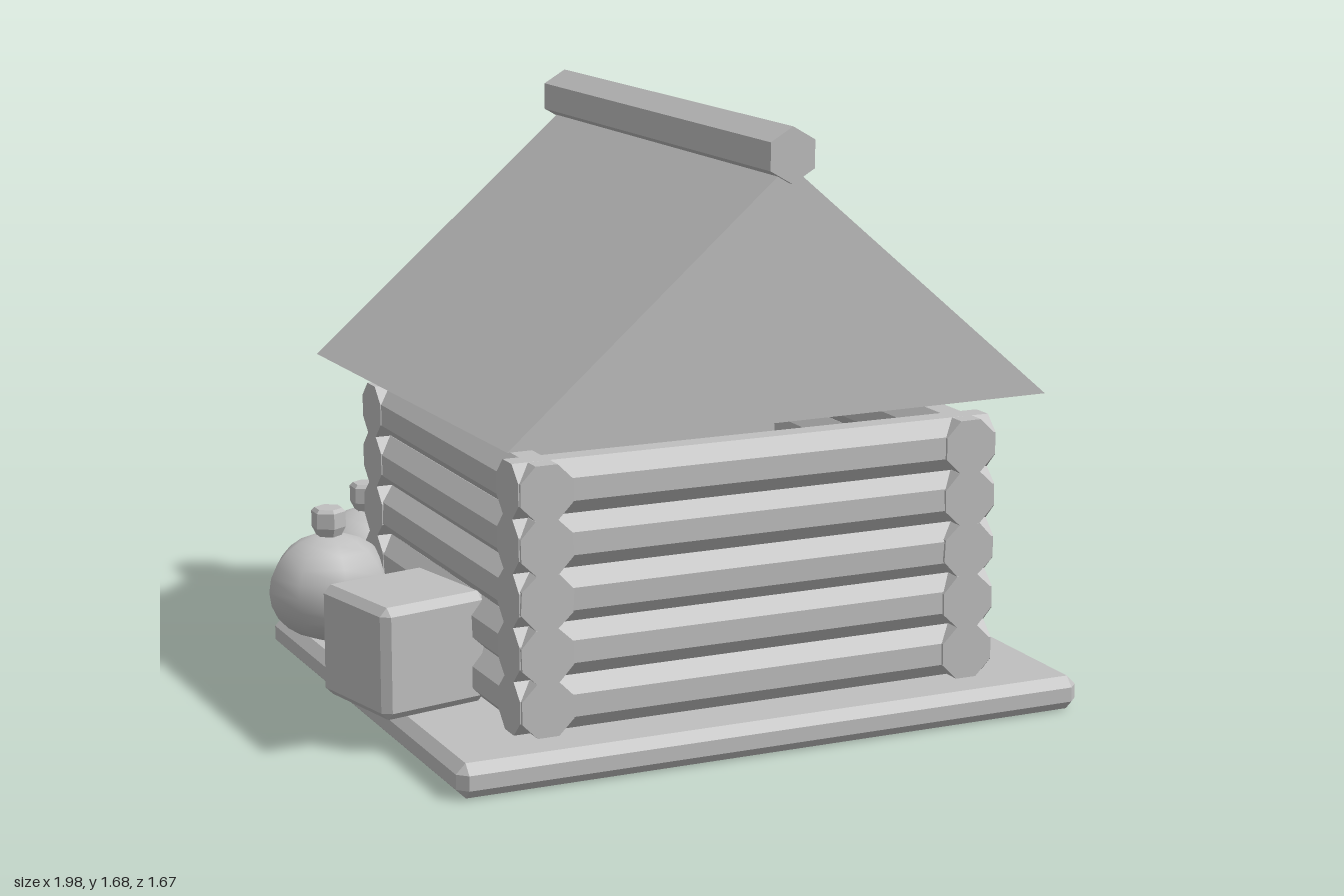
import * as THREE from 'three';
import { ConvexGeometry } from 'three/addons/geometries/ConvexGeometry.js';

const grey = new THREE.MeshStandardMaterial({ color: 0xbfbfbf });
grey.name = 'plain grey';

// Geometry with one normal per face
function flat(geometry) {
  const g = geometry.index ? geometry.toNonIndexed() : geometry;
  g.computeVertexNormals();
  return g;
}

function add(parent, name, geometry, x = 0, y = 0, z = 0) {
  const mesh = new THREE.Mesh(geometry, grey);
  mesh.name = name;
  mesh.position.set(x, y, z);
  parent.add(mesh);
  return mesh;
}

// Box with chamfered edges and corners
function chamferBox(w, h, d, b) {
  const points = [];
  for (const sx of [-1, 1]) for (const sy of [-1, 1]) for (const sz of [-1, 1]) {
    const x = w / 2, y = h / 2, z = d / 2;
    points.push(
      new THREE.Vector3(sx * x, sy * (y - b), sz * (z - b)),
      new THREE.Vector3(sx * (x - b), sy * y, sz * (z - b)),
      new THREE.Vector3(sx * (x - b), sy * (y - b), sz * z));
  }
  return new ConvexGeometry(points);
}

// Octagonal log lying along z
function logGeometry(length, turn) {
  const g = new THREE.CylinderGeometry(0.08, 0.08, length, 8);
  g.rotateY(Math.PI / 8 + turn);
  g.rotateX(Math.PI / 2);
  return flat(g);
}

function barrel(name, r, h, hoopHeights) {
  const group = new THREE.Group();
  group.name = name;
  const profile = [[0, 0], [r * 0.96, 0], [r, h * 0.25], [r, h * 0.75], [r * 0.96, h], [0, h]];
  const body = new THREE.LatheGeometry(profile.map(([x, y]) => new THREE.Vector2(x, y)), 8, Math.PI / 8);
  add(group, 'barrelBody', flat(body));
  for (const y of hoopHeights) {
    const hoop = new THREE.CylinderGeometry(r * 1.07, r * 1.07, 0.035, 8).rotateY(Math.PI / 8);
    add(group, 'barrelHoop', flat(hoop), 0, y, 0);
  }
  return group;
}

// Rounded gourd with a short six-sided stem
function gourd() {
  const group = new THREE.Group();
  group.name = 'gourd';
  const body = new THREE.SphereGeometry(1, 8, 12);
  body.scale(0.183, 0.157, 0.152);
  add(group, 'gourdBody', body, 0, 0.157, 0);
  const stem = [[0.035, 0], [0.05, 0.03], [0.05, 0.075], [0.04, 0.085], [0, 0.085]];
  add(group, 'gourdStem',
    flat(new THREE.LatheGeometry(stem.map(([x, y]) => new THREE.Vector2(x, y)), 6)), 0, 0.305, 0);
  return group;
}

export function createModel() {
  const model = new THREE.Group();
  model.name = 'logCabin';
  const floor = 0.095;

  add(model, 'base', chamferBox(1.85, floor, 1.52, 0.027), 0.04, floor / 2, 0.07);

  // Log walls, crossing at the corners
  const walls = new THREE.Group();
  walls.name = 'walls';
  model.add(walls);
  for (let row = 0; row < 5; row++) {
    const y = 0.172 + row * 0.146;
    const turn = 0.05 * Math.sin(row * 2.3);
    for (const x of [-0.588, 0.668]) add(walls, 'sideLog', logGeometry(1.19, turn), x, y, 0.115);
    for (const z of [-0.4, 0.628]) {
      add(walls, 'crossLog', logGeometry(1.415, -turn * 0.5), 0.0425, y, z).rotation.y = Math.PI / 2;
    }
  }

  // Door set in the back wall
  add(model, 'door', new THREE.BoxGeometry(0.355, 0.56, 0.04), -0.078, 0.375, -0.448);

  // Solid gable roof and ridge beam, slightly askew
  const roof = new THREE.Group();
  roof.name = 'roof';
  roof.position.set(0.044, 0.9, 0.107);
  roof.rotation.y = 0.025;
  model.add(roof);
  const gable = new THREE.Shape([
    new THREE.Vector2(-0.8, 0), new THREE.Vector2(0.8, 0), new THREE.Vector2(0, 0.68)]);
  const prism = new THREE.ExtrudeGeometry(gable, { depth: 1.37, bevelEnabled: false });
  add(roof, 'gableRoof', prism.translate(0, 0, -0.685));
  const beam = new THREE.CylinderGeometry(0.075, 0.075, 1.405, 6).rotateX(Math.PI / 2);
  add(roof, 'ridgeBeam', flat(beam), 0, 0.706, 0);

  // Yard goods
  const tall = barrel('tallBarrel', 0.168, 0.46, [0.095, 0.372]);
  tall.position.set(0.82, floor, -0.54);
  const small = barrel('smallBarrel', 0.143, 0.405, [0.083, 0.322]);
  small.position.set(0.425, floor, -0.7);
  model.add(tall, small);

  for (const [x, z] of [[-0.605, -0.625], [-0.805, -0.39]]) {
    const g = gourd();
    g.position.set(x, floor, z);
    model.add(g);
  }

  add(model, 'crate', chamferBox(0.33, 0.31, 0.33, 0.022), -0.805, 0.25, 0.222).rotation.y = 0.207;

  return model;
}
